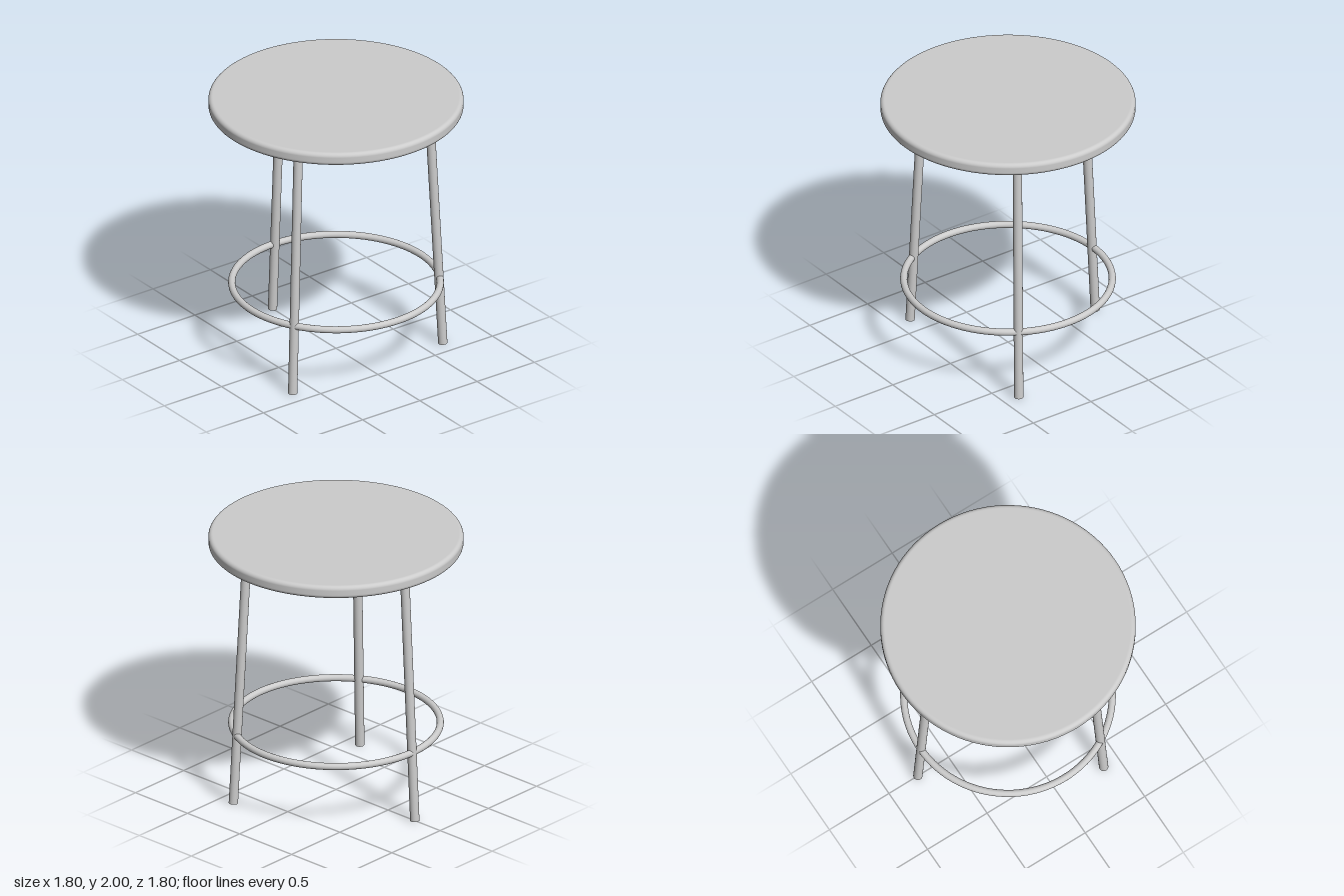
import * as THREE from 'three';

export function createModel() {
  const group = new THREE.Group();
  group.name = 'stool';
  const paint = new THREE.MeshStandardMaterial({ color: 0xcccccc });
  paint.name = 'light grey';

  const add = (name, geometry) => {
    const mesh = new THREE.Mesh(geometry, paint);
    mesh.name = name;
    group.add(mesh);
    return mesh;
  };

  // Round seat: a disc with softly rounded upper and lower edges
  const R = 0.9, bottom = 1.905, top = 2, r = 0.03, steps = 8;
  const profile = [new THREE.Vector2(0, bottom), new THREE.Vector2(R - r - 0.004, bottom)];
  const corner = (cy, start) => {
    for (let i = 0; i <= steps; i++) {
      const a = start + (i / steps) * Math.PI / 2;
      profile.push(new THREE.Vector2(R - r + r * Math.cos(a), cy + r * Math.sin(a)));
    }
  };
  corner(bottom + r, -Math.PI / 2);
  corner(top - r, 0);
  profile.push(new THREE.Vector2(R - r - 0.004, top), new THREE.Vector2(0, top));
  add('seat', new THREE.LatheGeometry(profile, 96));

  // Support ring under the seat and footrest ring
  const ring = (name, radius, tube, y) => {
    const mesh = add(name, new THREE.TorusGeometry(radius, tube, 20, 96));
    mesh.rotation.x = Math.PI / 2;
    mesh.position.y = y;
  };
  ring('seatRing', 0.657, 0.034, 1.871);
  ring('footRing', 0.735, 0.025, 0.525);

  // Three splayed legs: one at the back, two at the front
  const up = new THREE.Vector3(0, 1, 0);
  ['backLeg', 'frontLeftLeg', 'frontRightLeg'].forEach((name, i) => {
    const a = Math.PI + i * Math.PI * 2 / 3;
    const point = (radius, y) => new THREE.Vector3(-Math.sin(a) * radius, y, Math.cos(a) * radius);
    const foot = point(0.757, 0.002), head = point(0.66, 1.865);
    const axis = head.clone().sub(foot);
    const leg = add(name, new THREE.CylinderGeometry(0.033, 0.033, axis.length(), 24));
    leg.position.copy(foot).add(head).multiplyScalar(0.5);
    leg.quaternion.setFromUnitVectors(up, axis.normalize());
  });

  return group;
}
